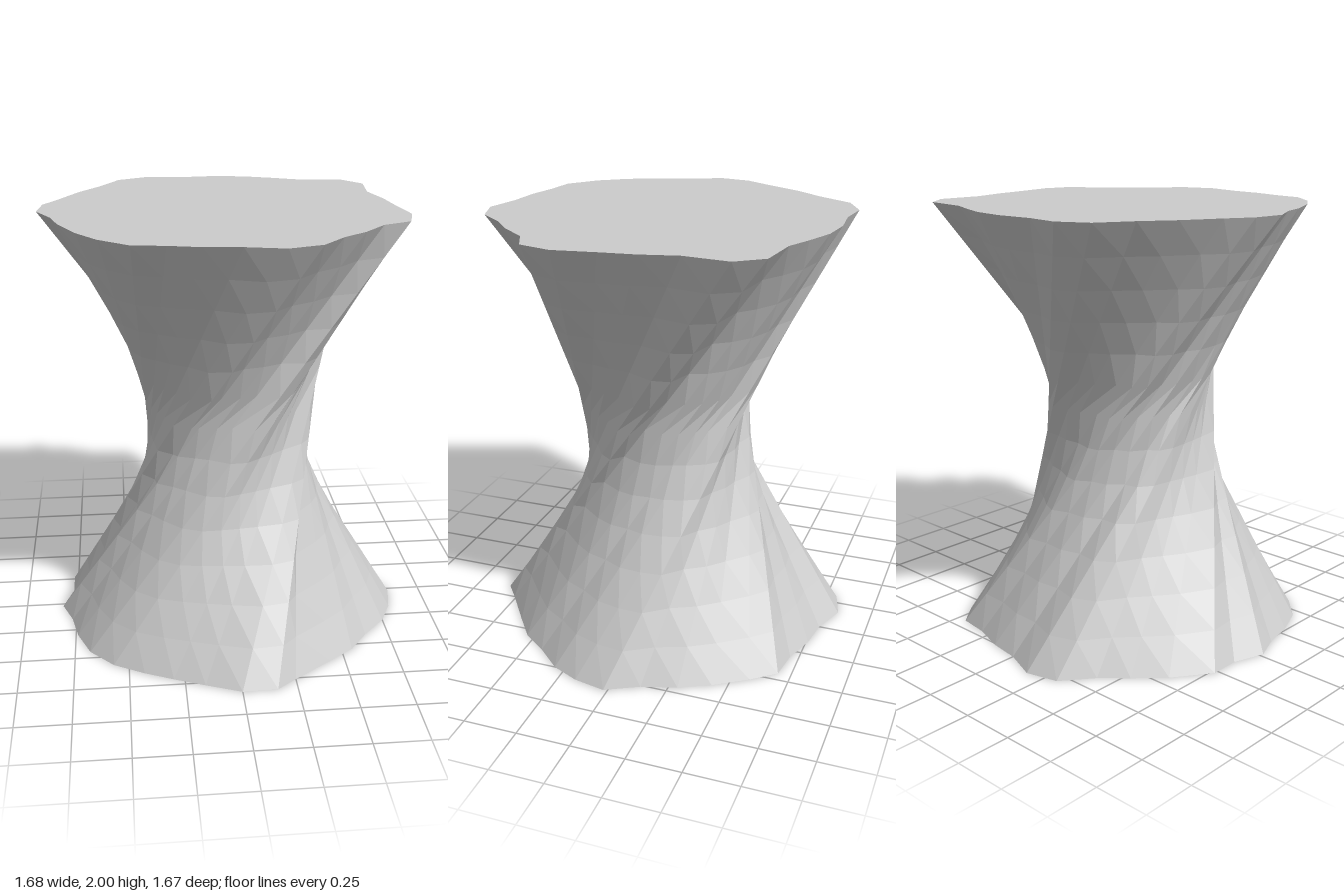
import * as THREE from 'three';

const SIDES = 32, LEVELS = 13, HEIGHT = 2;
const TWIST = 11;      // outline steps turned between base and top
const SLIP_LEVEL = 7;  // the band where the facets slip sideways by one step

// Outlines as x, z pairs, one corner about every 11 degrees
const base = [
  0.81, 0.17, 0.75, 0.30, 0.64, 0.42, 0.55, 0.54, 0.43, 0.63, 0.25, 0.76, 0.16, 0.83, 0, 0.835,
  -0.16, 0.77, -0.30, 0.71, -0.43, 0.65, -0.57, 0.57, -0.68, 0.45, -0.74, 0.30, -0.77, 0.15, -0.82, 0.02,
  -0.77, -0.13, -0.77, -0.27, -0.65, -0.44, -0.53, -0.56, -0.42, -0.66, -0.31, -0.80, -0.16, -0.84, 0, -0.78,
  0.15, -0.76, 0.30, -0.71, 0.45, -0.69, 0.54, -0.58, 0.64, -0.43, 0.71, -0.29, 0.76, -0.13, 0.84, 0.02,
];
const top = [
  0.80, 0.22, 0.76, 0.37, 0.63, 0.43, 0.53, 0.55, 0.42, 0.64, 0.32, 0.76, 0.17, 0.81, 0, 0.77,
  -0.16, 0.755, -0.30, 0.72, -0.44, 0.70, -0.57, 0.59, -0.66, 0.46, -0.74, 0.28, -0.77, 0.16, -0.84, 0.02,
  -0.82, -0.13, -0.75, -0.25, -0.66, -0.42, -0.56, -0.56, -0.47, -0.72, -0.33, -0.79, -0.17, -0.77, 0, -0.785,
  0.16, -0.765, 0.30, -0.71, 0.42, -0.655, 0.64, -0.63, 0.73, -0.51, 0.71, -0.30, 0.75, -0.13, 0.77, 0.03,
];

const wrap = (i) => (i + SIDES) % SIDES;

// Point on the straight line from base corner i to its turned top corner
function point(level, i) {
  const a = wrap(i), b = wrap(a - TWIST), t = level / LEVELS;
  return [
    THREE.MathUtils.lerp(base[2 * a], top[2 * b], t),
    HEIGHT * t,
    THREE.MathUtils.lerp(base[2 * a + 1], top[2 * b + 1], t),
  ];
}

function facetMesh(name, positions, material) {
  const geometry = new THREE.BufferGeometry();
  geometry.setAttribute('position', new THREE.Float32BufferAttribute(positions, 3));
  geometry.computeVertexNormals();
  const mesh = new THREE.Mesh(geometry, material);
  mesh.name = name;
  return mesh;
}

// Twisted wall, band by band
function wall() {
  const out = [];
  for (let level = 0; level < LEVELS; level++) {
    const slip = level === SLIP_LEVEL ? -1 : 0;
    for (let i = 0; i < SIDES; i++) {
      const a = point(level, i), b = point(level, i + 1);
      const c = point(level + 1, i + 1 + slip), d = point(level + 1, i + slip);
      out.push(...a, ...d, ...c, ...a, ...c, ...b);
    }
  }
  return out;
}

// Flat end face, fanned from the middle
function cap(level, faceUp) {
  const out = [], middle = [0, HEIGHT * level / LEVELS, 0];
  for (let i = 0; i < SIDES; i++) {
    const a = point(level, i), b = point(level, i + 1);
    out.push(...middle, ...(faceUp ? b : a), ...(faceUp ? a : b));
  }
  return out;
}

export function createModel() {
  const material = new THREE.MeshStandardMaterial({
    color: 0xcccccc, flatShading: true, side: THREE.DoubleSide,
  });
  const group = new THREE.Group();
  group.name = 'twistedStool';
  group.add(
    facetMesh('twistedWall', wall(), material),
    facetMesh('bottomFace', cap(0, false), material),
    facetMesh('topFace', cap(LEVELS, true), material),
  );
  return group;
}
